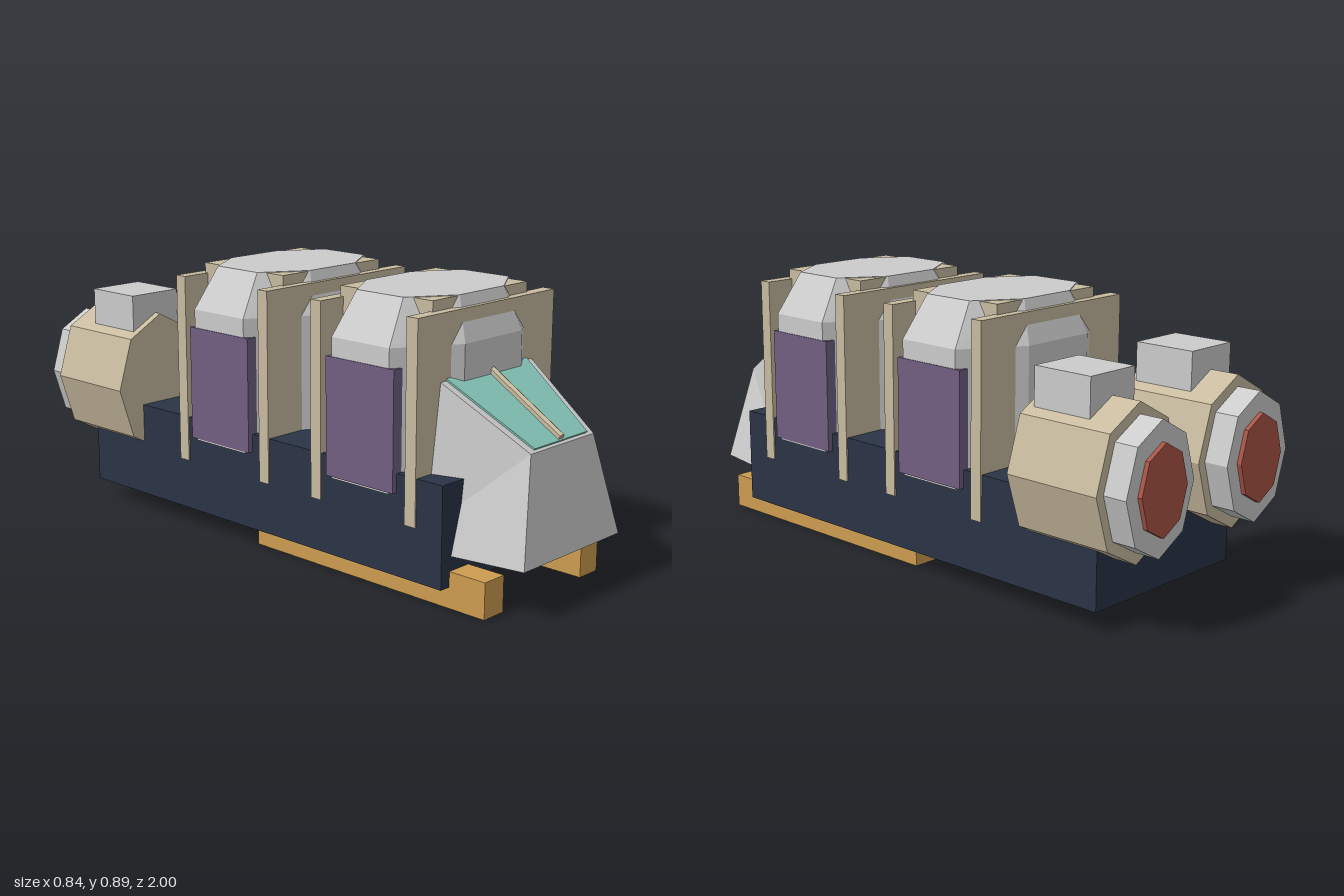
import * as THREE from 'three';
import { ConvexGeometry } from 'three/addons/geometries/ConvexGeometry.js';

const mat = (color) => new THREE.MeshStandardMaterial({ color, flatShading: true });
const GREY = mat(0xcccccc), TAN = mat(0xc8bb9f), NAVY = mat(0x2a3446), PURPLE = mat(0x715f82);
const OCHRE = mat(0xcc9c50), TEAL = mat(0x85c4b8), RED = mat(0xa85444);

function add(parent, name, geometry, material, x = 0, y = 0, z = 0) {
  const mesh = new THREE.Mesh(geometry, material);
  mesh.name = name;
  mesh.position.set(x, y, z);
  parent.add(mesh);
  return mesh;
}

// Box given by its limits on each axis
function box(parent, name, material, [x0, x1], [y0, y1], [z0, z1]) {
  return add(parent, name, new THREE.BoxGeometry(x1 - x0, y1 - y0, z1 - z0), material,
    (x0 + x1) / 2, (y0 + y1) / 2, (z0 + z1) / 2);
}

// Elliptical eight-sided drum lying along z
function drum(parent, name, material, rx, ry, z0, z1) {
  const g = new THREE.CylinderGeometry(1, 1, z1 - z0, 8).rotateX(Math.PI / 2).scale(rx, ry, 1);
  return add(parent, name, g, material, 0, 0, (z0 + z1) / 2);
}

// Corners of a chamfered rectangle at height y
function chamferedRing(y, x, xFlat, z, zFlat) {
  const pts = [];
  for (const sx of [-1, 1]) for (const sz of [-1, 1]) {
    pts.push(new THREE.Vector3(sx * xFlat, y, sz * z), new THREE.Vector3(sx * x, y, sz * zFlat));
  }
  return pts;
}

// Cargo pod: chamfered capsule, inner block, side panels and two end frames
function makePod(z) {
  const pod = new THREE.Group();
  pod.name = 'cargoPod';
  pod.position.z = z;
  add(pod, 'capsule', new ConvexGeometry([
    ...chamferedRing(0.32, 0.335, 0.137, 0.235, 0.115),
    ...chamferedRing(0.76, 0.335, 0.137, 0.235, 0.115),
    ...chamferedRing(0.895, 0.25, 0.105, 0.185, 0.092),
  ]), GREY);
  box(pod, 'innerBlock', TAN, [-0.225, 0.225], [0.4, 0.893], [-0.183, 0.183]);
  box(pod, 'sidePanels', PURPLE, [-0.338, 0.338], [0.326, 0.7], [-0.136, 0.136]);
  for (const s of [-1, 1]) {
    box(pod, 'endFrame', TAN, [-0.325, 0.325], [0.235, 0.86], [s * 0.192 - 0.021, s * 0.192 + 0.021]);
  }
  return pod;
}

// Engine: drum, rear ring, glowing nozzle and top box
function makeEngine(x) {
  const engine = new THREE.Group();
  engine.name = 'engine';
  engine.position.set(x, 0.45, 0);
  drum(engine, 'engineBody', TAN, 0.185, 0.242, -0.905, -0.57);
  drum(engine, 'engineRing', GREY, 0.154, 0.205, -0.985, -0.9);
  drum(engine, 'engineNozzle', RED, 0.104, 0.14, -1, -0.95);
  box(engine, 'engineTopBox', GREY, [-0.098, 0.098], [0.15, 0.312], [-0.805, -0.595]);
  return engine;
}

// Cockpit: faceted wedge with a sloping window and a centre bar
function makeCockpit() {
  const cockpit = new THREE.Group();
  cockpit.name = 'cockpit';
  const side = [[0.237, 0.16, 1], [0.155, 0.482, 0.95], [0.232, 0.69, 0.61], [0.304, 0.16, 0.6]];
  const points = [...side, ...side.map(([x, y, z]) => [-x, y, z])];
  const faces = [
    0, 1, 5, 0, 5, 4, // front
    0, 3, 1, 1, 3, 2, // left side
    4, 5, 7, 5, 6, 7, // right side
    1, 2, 6, 1, 6, 5, // window slope
    0, 4, 7, 0, 7, 3, // underside
    3, 7, 6, 3, 6, 2, // back
  ];
  const g = new THREE.BufferGeometry();
  g.setAttribute('position', new THREE.Float32BufferAttribute(faces.flatMap((i) => points[i]), 3));
  g.computeVertexNormals();
  add(cockpit, 'cockpitShell', g, GREY);

  const slope = new THREE.Group();
  slope.name = 'windowSlope';
  slope.position.set(0, 0.482, 0.95);
  slope.rotation.x = Math.atan2(-0.34, 0.208);
  cockpit.add(slope);
  const pane = new THREE.Shape([[-0.13, 0.01], [0.13, 0.01], [0.205, 0.39], [-0.205, 0.39]]
    .map(([x, y]) => new THREE.Vector2(x, y)));
  add(slope, 'window', new THREE.ExtrudeGeometry(pane, { depth: 0.006, bevelEnabled: false }), TEAL);
  add(slope, 'windowBar', new THREE.CylinderGeometry(0.013, 0.013, 0.37, 6), TAN, 0, 0.2, 0.012);
  return cockpit;
}

export function createModel() {
  const model = new THREE.Group();
  model.name = 'cargoShip';
  box(model, 'hull', NAVY, [-0.32, 0.32], [0.066, 0.385], [-0.83, 0.765]);
  model.add(makeCockpit());
  for (const z of [0.454, -0.161]) model.add(makePod(z));
  for (const s of [-1, 1]) {
    model.add(makeEngine(s * 0.235));
    box(model, 'skid', OCHRE, [s * 0.238 - 0.044, s * 0.238 + 0.044], [0, 0.115], [-0.043, 0.897]);
  }
  return model;
}
